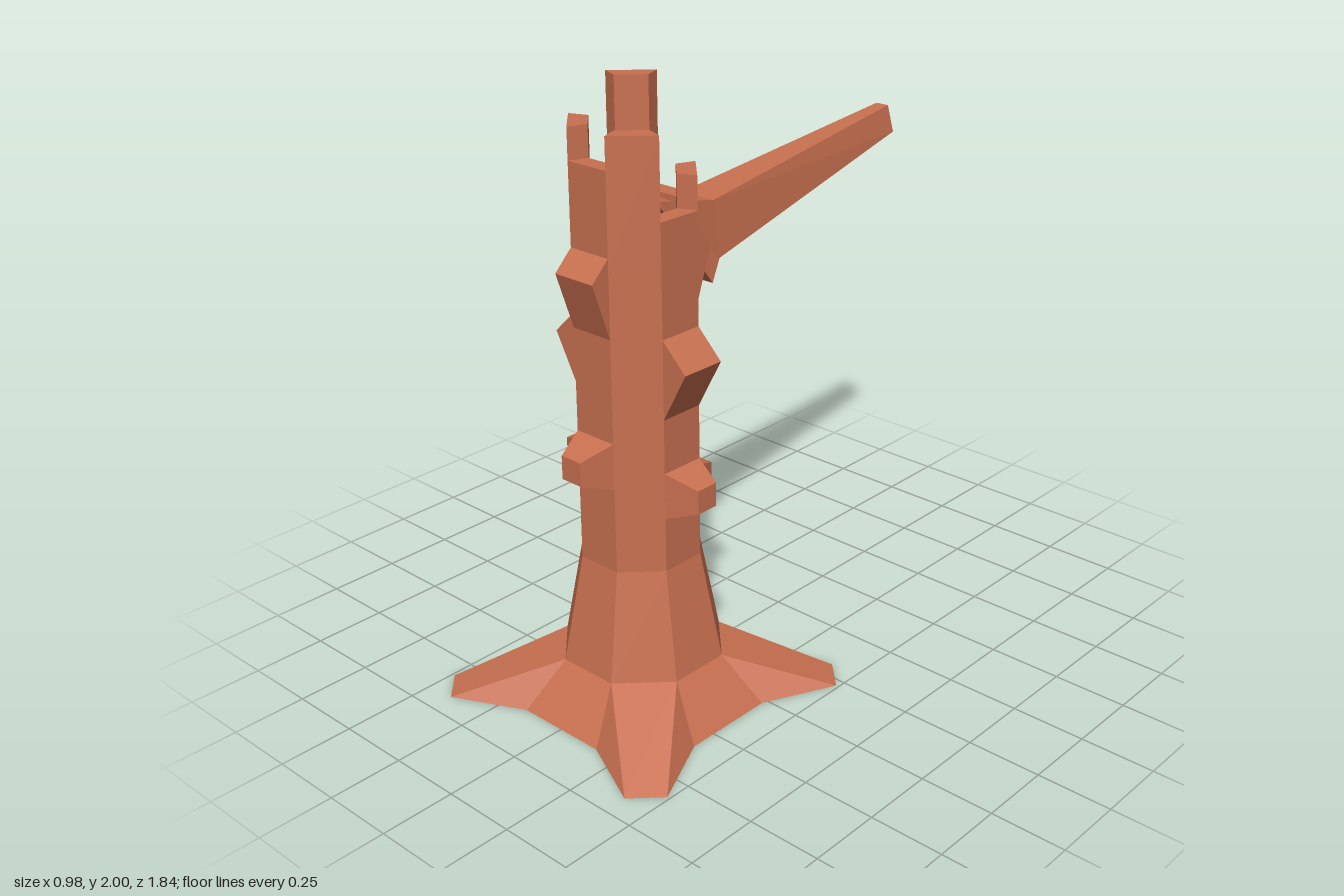
import * as THREE from 'three';

const bark = new THREE.MeshStandardMaterial({ color: 0xc87050, flatShading: true });

// Skin a list of rings (each counter-clockwise seen from the last ring) and cap both ends.
function loft(name, rings) {
  const pos = [];
  const tri = (a, b, c) => {
    const n = new THREE.Vector3().crossVectors(b.clone().sub(a), c.clone().sub(a));
    if (n.length() > 1e-8) for (const p of [a, b, c]) pos.push(p.x, p.y, p.z);
  };
  const R = rings.map(r => r.map(p => new THREE.Vector3(...p)));
  const n = R[0].length;
  for (let k = 0; k < R.length - 1; k++) {
    for (let i = 0; i < n; i++) {
      const j = (i + 1) % n;
      tri(R[k][i], R[k][j], R[k + 1][j]);
      tri(R[k][i], R[k + 1][j], R[k + 1][i]);
    }
  }
  const cap = (ring, flip) => {
    const c = new THREE.Vector3();
    ring.forEach(p => c.addScaledVector(p, 1 / n));
    ring.forEach((p, i) => {
      const q = ring[(i + 1) % n];
      if (flip) tri(c, q, p); else tri(c, p, q);
    });
  };
  cap(R[0], true);
  cap(R[R.length - 1], false);
  const geo = new THREE.BufferGeometry();
  geo.setAttribute('position', new THREE.Float32BufferAttribute(pos, 3));
  geo.computeVertexNormals();
  const mesh = new THREE.Mesh(geo, bark);
  mesh.name = name;
  return mesh;
}

// Repeat one quadrant of [x, z] points around the vertical axis.
function ring(y, quadrant) {
  const out = [];
  for (let q = 0; q < 4; q++) {
    for (const [x, z] of quadrant) {
      out.push([[x, y, z], [z, y, -x], [-x, y, -z], [-z, y, x]][q]);
    }
  }
  return out;
}

export function createModel() {
  const model = new THREE.Group();
  model.name = 'deadTree';
  const trunk = new THREE.Group();
  trunk.name = 'trunk';
  trunk.position.z = 0.43;
  model.add(trunk);

  // Octagonal trunk flaring into four roots; corner points are doubled to meet the root outline
  const oct = (y, h, a) => ring(y, [[h, a], [h, a], [a, h], [a, h]]);
  const floorY = 1.5;
  trunk.add(loft('trunkAndRoots', [
    ring(0, [[0.16, 0.375], [0.4, 0.49], [0.49, 0.4], [0.375, 0.16]]),
    oct(0.155, 0.105, 0.25),
    oct(0.515, 0.077, 0.185),
    oct(floorY, 0.077, 0.185),
  ]));

  // Broken rim: eight wall pieces of uneven height, from front-left corner round to the front
  const tops = [1.9, 1.645, 1.75, 1.65, 2.0, 1.695, 1.9, 1.8];
  const outer = y => ring(y, [[0.077, 0.185], [0.185, 0.077]]);
  const inner = y => ring(y, [[0.053, 0.125], [0.125, 0.053]]);
  tops.forEach((top, i) => {
    const j = (i + 1) % 8;
    const section = y => [outer(y)[i], outer(y)[j], inner(y)[j], inner(y)[i]];
    trunk.add(loft('rimPiece', [section(floorY), section(top)]));
  });

  // Bark ridges and cut-off knots, one of each on the four flat sides
  const rect = (w, lo, hi, z) => [[-w, lo, z], [w, lo, z], [w, hi, z], [-w, hi, z]];
  const sides = [
    { turn: 0, ridge: [1.285, 1.475, 1.54, 0.25], knot: 0.875 },
    { turn: 1, ridge: [1.025, 1.195, 1.285, 0.275], knot: 0.772 },
    { turn: 2, ridge: [1.285, 1.475, 1.54, 0.25], knot: 0.672 },
    { turn: 3, ridge: [1.025, 1.195, 1.285, 0.275], knot: 0.772 },
  ];
  for (const { turn, ridge: [lo, mid, hi, out], knot } of sides) {
    const side = new THREE.Group();
    side.name = 'barkSide';
    side.rotation.y = turn * Math.PI / 2;
    side.add(loft('barkRidge', [rect(0.077, lo, hi, 0.184), rect(0.077, mid, mid, out)]));
    side.add(loft('knot', [
      rect(0.077, knot - 0.077, knot + 0.077, 0.184),
      rect(0.04, knot - 0.039, knot + 0.039, 0.288),
    ]));
    trunk.add(side);
  }

  // Long bare branch reaching backward, with a slanted root end inside the rim
  model.add(loft('branch', [
    [[0.075, 1.345, 0.17], [-0.1, 1.34, 0.165], [-0.13, 1.65, 0.385], [0.05, 1.65, 0.385]],
    [[0.04, 1.4, 0.1], [-0.09, 1.385, 0.1], [-0.11, 1.585, 0.115], [0.02, 1.585, 0.105]],
    [[-0.065, 1.58, -0.92], [-0.115, 1.575, -0.92], [-0.13, 1.675, -0.905], [-0.08, 1.675, -0.905]],
  ]));

  return model;
}
